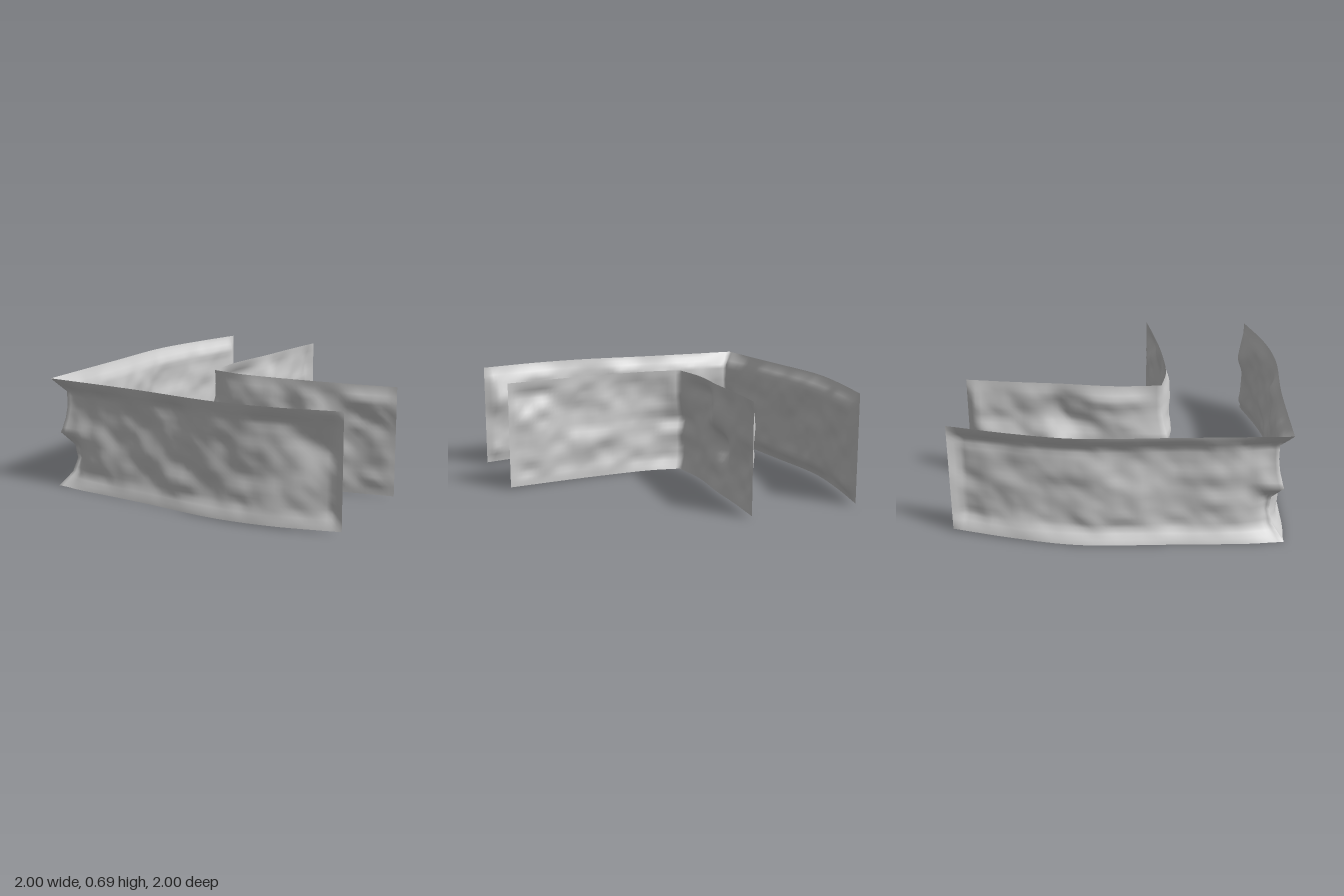
import * as THREE from 'three';

const material = new THREE.MeshStandardMaterial({ color: 0xcccccc, side: THREE.DoubleSide });
const ROWS = 24, STEP = 0.03;
const smooth = THREE.MathUtils.smoothstep;
const lerp = THREE.MathUtils.lerp;

// Seeded value noise, -1..1
function hash(i, j, seed) {
  let h = Math.imul(i, 374761393) + Math.imul(j, 668265263) + Math.imul(seed, 974711);
  h = Math.imul(h ^ (h >>> 13), 1274126177);
  return ((h ^ (h >>> 16)) >>> 0) / 2147483648 - 1;
}
function noise(x, y, seed) {
  const i = Math.floor(x), j = Math.floor(y);
  const u = smooth(x - i, 0, 1), v = smooth(y - j, 0, 1);
  return lerp(
    lerp(hash(i, j, seed), hash(i + 1, j, seed), u),
    lerp(hash(i, j + 1, seed), hash(i + 1, j + 1, seed), u), v);
}

// Evenly spaced points along one arm; points are [x, z]
function armPoints(points) {
  const curve = new THREE.CatmullRomCurve3(points.map(([x, z]) => new THREE.Vector3(x, 0, z)));
  return curve.getSpacedPoints(Math.round(curve.getLength() / STEP));
}

// Value at t (0..1) of an evenly spaced list
function sample(list, t) {
  const f = t * (list.length - 1), i = Math.min(Math.floor(f), list.length - 2);
  return lerp(list[i], list[i + 1], f - i);
}

// A rough open sheet following an L: straight rims, weathered face between them.
// inset runs along the path, corner runs up the bend, bumps are [distance, height, size]
function rockWall({ name, back, front, inset, rough, corner, bumps, seed }) {
  const a = armPoints(back), b = armPoints(front);
  const path = [...a, ...b.slice(1)];
  const bend = a.length - 1, last = path.length - 1;

  // Direction towards the open side, rounded off around the bend
  const raw = path.map((p, i) => {
    const d = path[Math.min(i + 1, last)].clone().sub(path[Math.max(i - 1, 0)]);
    return new THREE.Vector3(d.z, 0, -d.x).normalize();
  });
  const inward = raw.map((n, i) => {
    const sum = new THREE.Vector3();
    for (let k = -9; k <= 9; k++) sum.add(raw[THREE.MathUtils.clamp(i + k, 0, last)]);
    return sum.normalize();
  });

  const positions = [], index = [];
  path.forEach((p, i) => {
    const s = i * STEP;
    const endFade = smooth(Math.min(i, last - i), 0, 2);
    const nearBend = Math.exp(-(((i - bend) * STEP / 0.14) ** 2));
    for (let r = 0; r <= ROWS; r++) {
      const v = r / ROWS;
      const fade = smooth(Math.min(v, 1 - v), 0, 0.15) * endFade;
      const grain = 0.7 * noise(s * 4.5, v * 4.5, seed) + 0.4 * noise(s * 9, v * 8, seed + 1)
        + 0.1 * noise(s * 18, v * 13, seed + 2);
      let offset = fade * (sample(inset, i / last) + rough * grain);
      for (const [bs, bv, size] of bumps)
        offset += fade * size * Math.exp(-(((s - bs) / 0.1) ** 2) - (((v - bv) / 0.17) ** 2));
      offset = lerp(offset, sample(corner, v) + 0.01 * fade * grain, nearBend);
      const y = lerp(0.015 - 0.015 * Math.sin(Math.PI * i / last), 0.69, v);
      positions.push(p.x + inward[i].x * offset, y, p.z + inward[i].z * offset);
      if (i < last && r < ROWS) {
        const q = i * (ROWS + 1) + r, t = q + ROWS + 1;
        index.push(q, t, q + 1, t, t + 1, q + 1);
      }
    }
  });

  const geometry = new THREE.BufferGeometry();
  geometry.setAttribute('position', new THREE.Float32BufferAttribute(positions, 3));
  geometry.setIndex(index);
  geometry.computeVertexNormals();
  const mesh = new THREE.Mesh(geometry, material);
  mesh.name = name;
  return mesh;
}

export function createModel() {
  const group = new THREE.Group();
  group.name = 'rockPassage';

  // Large wall round the outside of the bend
  group.add(rockWall({
    name: 'outerWall',
    back: [[-0.85, -1], [-0.94, -0.63], [-1, -0.25], [-0.975, 0.3], [-0.94, 0.97]],
    front: [[-0.94, 0.97], [-0.3, 0.97], [0.25, 0.995], [0.6, 0.955], [1, 0.85]],
    inset: [0.035, 0.045, 0.055, 0.05, 0.055, 0.037, 0.035, 0.035, 0.035],
    rough: 0.024,
    corner: [0.02, 0.11, 0.14, 0.13, 0.04, 0.08, 0.09, 0.09, 0],
    bumps: [[3.8, 0.7, 0.02], [3.5, 0.4, -0.02]],
    seed: 11,
  }));

  // Smaller wall on the inside of the bend
  group.add(rockWall({
    name: 'innerWall',
    back: [[-0.15, -1], [-0.18, -0.7], [-0.2, -0.4], [-0.235, -0.05], [-0.215, 0.235]],
    front: [[-0.215, 0.235], [0, 0.265], [0.4, 0.235], [0.7, 0.19], [1, 0.135]],
    inset: [-0.025, -0.02, -0.02, -0.022, -0.025, -0.024, -0.005, -0.01, -0.01],
    rough: 0.03,
    corner: [0, -0.04, -0.04, -0.02, -0.06, -0.02, 0, 0.01, 0],
    bumps: [[0.57, 0.4, -0.05], [0.57, 0.75, 0.04], [1.93, 0.7, -0.03], [1.9, 0.3, 0.035]],
    seed: 37,
  }));

  return group;
}
